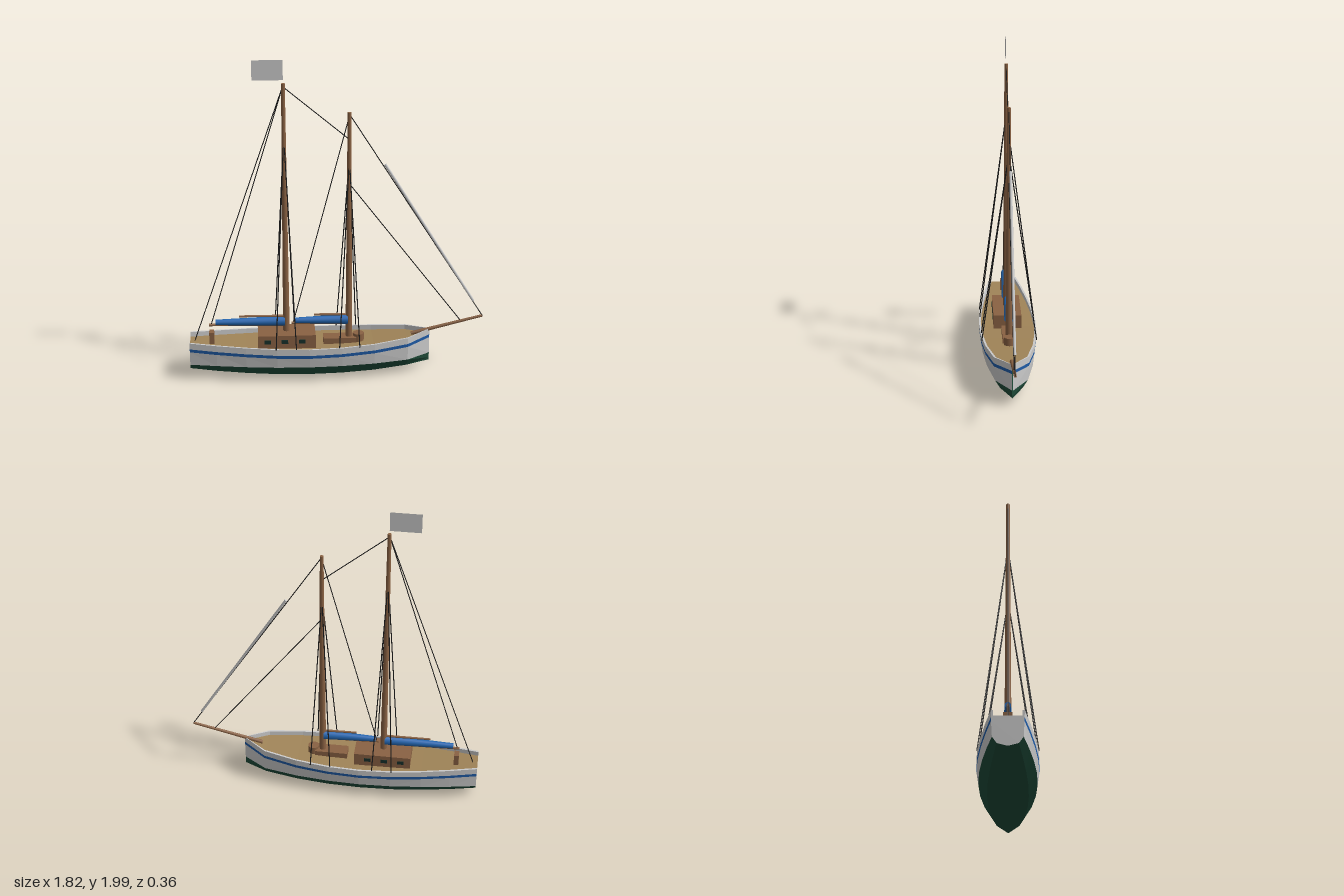
import * as THREE from 'three';

const mat = (color, flat = false) =>
  new THREE.MeshStandardMaterial({ color, flatShading: flat, side: THREE.DoubleSide });
const M = {
  grey: mat(0xcccccc, true), blue: mat(0x1f5ca8, true), green: mat(0x1d4a38, true),
  deck: mat(0xa08458, true), wood: mat(0x8a6243), cabin: mat(0x8a6243, true),
  sail: mat(0x2468b4), glass: mat(0x16302a), rope: mat(0x1c1c1c), cloth: mat(0xcccccc),
};

// Hull stations: x, half width, sheer height, keel height
const STATIONS = [
  [-0.915, 0.088, 0.257, 0.06], [-0.75, 0.12, 0.249, 0.04], [-0.57, 0.149, 0.242, 0.025],
  [-0.38, 0.171, 0.236, 0.014], [-0.18, 0.18, 0.233, 0.01], [0.02, 0.173, 0.236, 0.012],
  [0.22, 0.15, 0.244, 0.021], [0.43, 0.105, 0.26, 0.04], [0.575, 0.003, 0.275, 0.06],
];

// Half section as [z, y], from deck centre over the rail and down to the keel
function section([, w, sheer, keel]) {
  const inner = Math.max(w - 0.012, 0), deckY = sheer - 0.03;
  return [
    [0, deckY], [inner, deckY], [inner, sheer], [w, sheer],
    [w * 0.995, sheer - 0.04], [w * 0.985, sheer - 0.06],
    [w * 0.93, 0.11], [w * 0.65, keel + 0.3 * (0.11 - keel)], [0, keel],
  ];
}

// Mirrored band of hull between two section points
function band(from, to) {
  const pos = [];
  for (const side of [1, -1]) {
    for (let i = 0; i < STATIONS.length - 1; i++) {
      for (let k = from; k < to; k++) {
        const p = (s, j) => {
          const [z, y] = section(STATIONS[s])[j];
          return [STATIONS[s][0], y, z * side];
        };
        const a = p(i, k), b = p(i, k + 1), c = p(i + 1, k), d = p(i + 1, k + 1);
        const tris = side > 0 ? [a, b, d, a, d, c] : [a, d, b, a, c, d];
        tris.forEach(v => pos.push(...v));
      }
    }
  }
  const g = new THREE.BufferGeometry();
  g.setAttribute('position', new THREE.Float32BufferAttribute(pos, 3));
  g.computeVertexNormals();
  return g;
}

export function createModel() {
  const model = new THREE.Group();
  model.name = 'sailingShip';

  function add(name, geometry, material, parent = model) {
    const m = new THREE.Mesh(geometry, material);
    m.name = name;
    parent.add(m);
    return m;
  }
  function group(name) {
    const g = new THREE.Group();
    g.name = name;
    model.add(g);
    return g;
  }
  // Tapered round bar between two points
  function bar(name, a, b, r0, r1, material, parent = model, sides = 10) {
    const A = new THREE.Vector3(...a), B = new THREE.Vector3(...b);
    const dir = B.clone().sub(A);
    const m = add(name, new THREE.CylinderGeometry(r1, r0, dir.length(), sides), material, parent);
    m.position.copy(A).add(B).multiplyScalar(0.5);
    m.quaternion.setFromUnitVectors(new THREE.Vector3(0, 1, 0), dir.normalize());
    return m;
  }
  // Box given by its limits in x and y, centred on z
  function box(name, x0, x1, y0, y1, depth, material, parent = model, z = 0) {
    const m = add(name, new THREE.BoxGeometry(x1 - x0, y1 - y0, depth), material, parent);
    m.position.set((x0 + x1) / 2, (y0 + y1) / 2, z);
    return m;
  }

  // Hull
  const hull = group('hull');
  add('deck', band(0, 1), M.deck, hull);
  add('bulwark', band(1, 4), M.grey, hull);
  add('stripe', band(4, 5), M.blue, hull);
  add('topsides', band(5, 6), M.grey, hull);
  add('bottom', band(6, 8), M.green, hull);

  // Transom, open between the bulwarks
  const half = section(STATIONS[0]).slice(1);
  const outline = [...half, ...half.slice(0, -1).reverse().map(([z, y]) => [-z, y])];
  const transom = new THREE.ShapeGeometry(
    new THREE.Shape(outline.map(([z, y]) => new THREE.Vector2(z, y))));
  transom.rotateY(-Math.PI / 2);
  add('transom', transom, M.grey, hull).position.x = STATIONS[0][0];

  // Deck houses and fittings
  const cabin = group('cabin');
  box('cabinHouse', -0.495, -0.14, 0.195, 0.29, 0.176, M.cabin, cabin);
  for (const z of [-0.088, 0.088])
    for (const x of [-0.435, -0.33, -0.225])
      box('cabinWindow', x - 0.02, x + 0.02, 0.238, 0.262, 0.006, M.glass, cabin, z);
  box('foreHatch', -0.09, 0.115, 0.195, 0.242, 0.08, M.cabin);
  bar('capstan', [0.13, 0.2, 0], [0.13, 0.26, 0], 0.034, 0.034, M.wood, model, 12);
  box('sternPost', -0.795, -0.765, 0.21, 0.295, 0.05, M.cabin);

  // Masts with booms, furled sails and gaffs
  const rigs = [
    { name: 'main', x: -0.318, top: 1.86, end: -0.795, sailEnd: -0.755, gaffEnd: -0.61, hounds: 1.55, z: 0.172 },
    { name: 'fore', x: 0.07, top: 1.68, end: -0.285, sailEnd: -0.265, gaffEnd: -0.145, hounds: 1.4, z: 0.168 },
  ];
  for (const r of rigs) {
    const g = group(r.name + 'Rig');
    bar(r.name + 'Mast', [r.x, 0.2, 0], [r.x, r.top, 0], 0.021, 0.011, M.wood, g, 12);
    bar(r.name + 'Boom', [r.x, 0.328, 0], [r.end, 0.338, 0], 0.01, 0.008, M.wood, g);
    bar(r.name + 'FurledSail', [r.x - 0.008, 0.354, 0], [r.sailEnd, 0.354, 0], 0.031, 0.017, M.sail, g, 12);
    bar(r.name + 'Gaff', [r.x, 0.386, 0], [r.gaffEnd, 0.391, 0], 0.008, 0.006, M.wood, g);
    // Shrouds to both rails
    for (const side of [-1, 1])
      for (const dx of [-0.068, 0.056])
        bar(r.name + 'Shroud', [r.x, r.hounds, 0], [r.x + dx, 0.235, side * r.z], 0.0035, 0.0035, M.rope, g, 5);
  }

  // Bowsprit and furled jib
  bar('bowsprit', [0.46, 0.245, 0], [0.905, 0.353, 0], 0.012, 0.008, M.wood);
  bar('furledJib', [0.285, 1.355, 0], [0.845, 0.455, 0], 0.008, 0.008, M.cloth, model, 8);

  // Stays and lifts along the centre line, as x, y to x, y
  const stays = group('stays');
  const lines = [
    [-0.318, 1.85, -0.885, 0.235], [-0.318, 1.85, -0.78, 0.345], [-0.318, 1.84, 0.07, 1.515],
    [0.07, 1.66, -0.275, 0.34], [0.07, 1.67, 0.905, 0.353], [0.07, 1.24, 0.77, 0.322],
  ];
  for (const [x0, y0, x1, y1] of lines)
    bar('stay', [x0, y0, 0], [x1, y1, 0], 0.003, 0.003, M.rope, stays, 5);

  // Flag
  const flag = add('flag', new THREE.PlaneGeometry(0.182, 0.12), M.cloth);
  flag.position.set(-0.409, 1.94, 0);

  return model;
}
